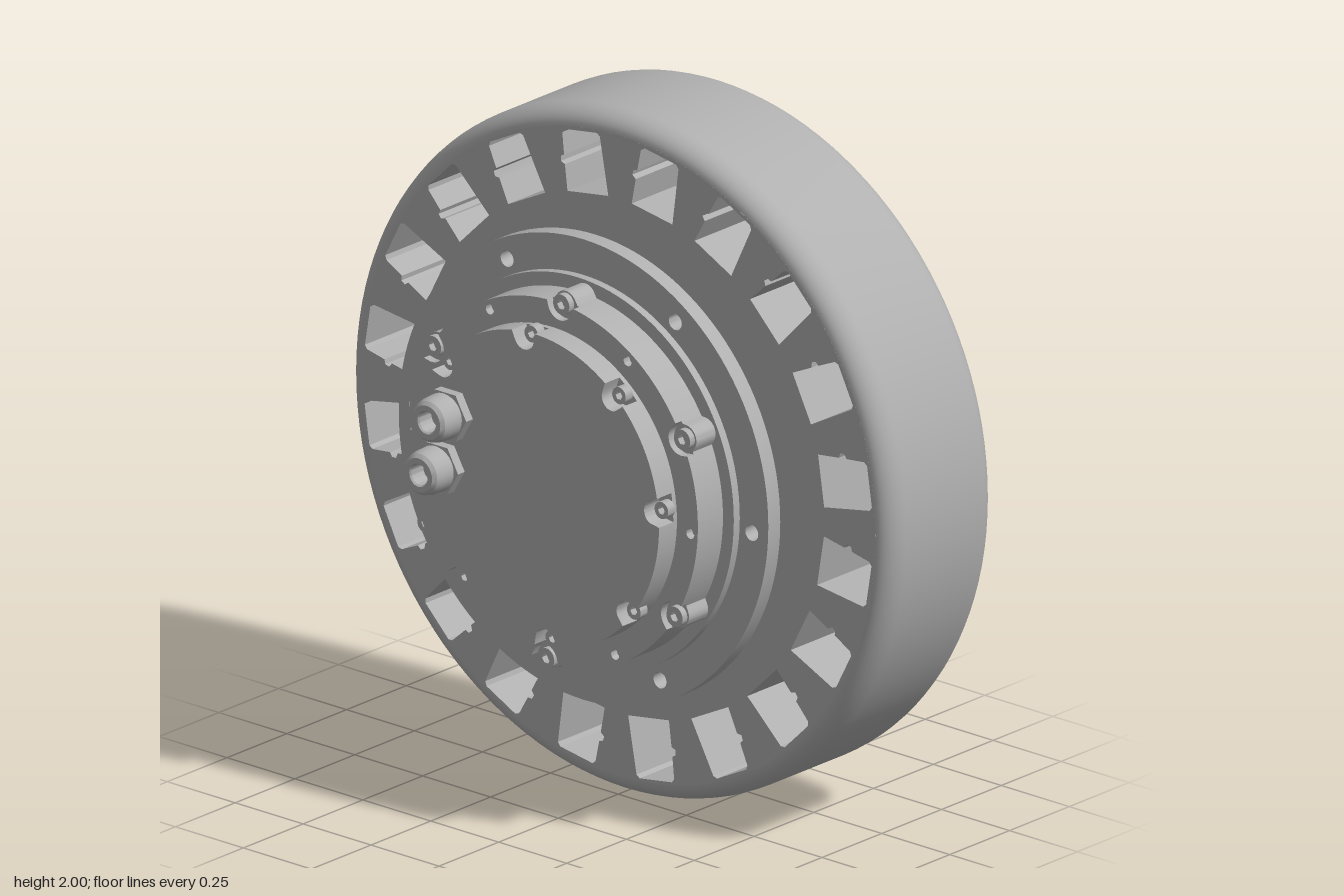
import * as THREE from 'three';
import { toCreasedNormals } from 'three/addons/utils/BufferGeometryUtils.js';

const TAU = Math.PI * 2;
const rad = (d) => d * Math.PI / 180;
const V = (x, y) => new THREE.Vector2(x, y);
const polar = (r, a) => V(r * Math.cos(a), r * Math.sin(a));
// evenly spaced points on a bolt circle
const boltCircle = (n, r, startDeg) => Array.from({ length: n }, (_, i) => polar(r, rad(startDeg) + i * TAU / n));

export function createModel() {
  const metal = new THREE.MeshStandardMaterial({ color: 0xb0b0b0 });
  metal.name = 'grey metal';
  const model = new THREE.Group();
  model.name = 'hubWheel';
  model.position.y = 1;

  function add(name, geometry, parent = model) {
    const mesh = new THREE.Mesh(toCreasedNormals(geometry, 0.5), metal);
    mesh.name = name;
    parent.add(mesh);
    return mesh;
  }

  // profile points are (radius, z)
  function turned(name, points, segments = 96, parent = model) {
    const g = new THREE.LatheGeometry(points.map(([r, z]) => V(r, z)), segments);
    return add(name, g.rotateX(Math.PI / 2), parent);
  }

  function plate(name, shape, z0, z1, parent = model) {
    const g = new THREE.ExtrudeGeometry(shape, { depth: z1 - z0, bevelEnabled: false, curveSegments: 12 });
    return add(name, g.translate(0, 0, z0), parent);
  }

  const polygon = (r, n, x = 0, y = 0) =>
    Array.from({ length: n }, (_, i) => polar(r, i * TAU / n).add(V(x, y)));

  function disc(r, holes = [], n = 120) {
    const s = new THREE.Shape(polygon(r, n));
    for (const h of holes) s.holes.push(new THREE.Path(h));
    return s;
  }

  const drill = (centres, r, n = 16) => centres.map((c) => polygon(r, n, c.x, c.y));

  // disc whose edge swells round, or is bitten by, circles on a bolt circle
  function lobed(base, count, d, startDeg, rho, sign, holes = []) {
    const pts = [];
    for (let i = 0; i < 480; i++) {
      const a = i * TAU / 480;
      const step = TAU / count;
      const rel = a - rad(startDeg);
      const delta = rel - Math.round(rel / step) * step;
      const q = rho * rho - (d * Math.sin(delta)) ** 2;
      let r = base;
      if (q > 0) {
        const edge = d * Math.cos(delta) + sign * Math.sqrt(q);
        r = sign > 0 ? Math.max(base, edge) : Math.min(base, edge);
      }
      pts.push(polar(r, a));
    }
    const s = new THREE.Shape(pts);
    for (const h of holes) s.holes.push(new THREE.Path(h));
    return s;
  }

  // rounded tread
  const tread = [];
  for (let i = 0; i <= 8; i++) {
    const a = i / 8 * Math.PI / 2;
    tread.push([0.945 + 0.055 * Math.sin(a), -0.375 - 0.075 * Math.cos(a)]);
  }
  for (let i = 0; i <= 8; i++) {
    const a = i / 8 * Math.PI / 2;
    tread.push([0.945 + 0.055 * Math.cos(a), -0.075 + 0.075 * Math.sin(a)]);
  }
  turned('tread', tread, 120);

  // spoke ring with twenty notched windows
  const windows = [];
  for (let i = 0; i < 20; i++) {
    const a = rad(9 + 18 * i - 0.5);
    const outline = [[0.755, -0.076], [0.925, -0.07], [0.935, -0.06], [0.935, 0.06], [0.925, 0.07],
      [0.86, 0.073], [0.855, 0.086], [0.84, 0.088], [0.832, 0.074], [0.755, 0.076]];
    windows.push(outline.map(([x, y]) => V(x, y).rotateAround(V(0, 0), a)));
  }
  plate('spokeRing', disc(0.946, [...windows, polygon(0.7, 120)]), -0.45, 0);

  // dished hub, open at the back
  const bowl = [[0.53, -0.23]];
  for (let i = 1; i <= 5; i++) {
    const a = i / 5 * Math.PI / 2;
    bowl.push([0.53 + 0.055 * Math.sin(a), -0.285 + 0.055 * Math.cos(a)]);
  }
  bowl.push([0.605, -0.4], [0.612, -0.425], [0.625, -0.443], [0.645, -0.45], [0.688, -0.45],
    [0.688, -0.43], [0.702, -0.43], [0.702, 0], [0.5, 0]);
  turned('hubBowl', bowl);
  const hubHoles = [
    polygon(0.115, 48),
    ...drill(boltCircle(6, 0.22, -8), 0.024),
    ...drill(boltCircle(6, 0.455, -8), 0.024),
  ];
  plate('hubFace', disc(0.535, hubHoles), -0.23, -0.19);

  // motor housing with bolt bosses, mounting flange and step
  plate('motorHousing', lobed(0.535, 6, 0.525, 27, 0.04, 1), -0.19, 0.25);
  plate('mountingFlange', disc(0.68, drill(boltCircle(6, 0.62, -3), 0.024)), 0.095, 0.145);
  plate('flangeStep', disc(0.575), 0.145, 0.17);
  plate('housingRim', lobed(0.535, 6, 0.53, 27, 0.045, -1,
    drill(boltCircle(6, 0.508, -3), 0.015)), 0.25, 0.275);

  // front cover with screw recesses
  plate('coverBase', disc(0.458), 0.275, 0.29);
  plate('frontCover', lobed(0.458, 8, 0.442, 5, 0.037, -1), 0.29, 0.35);

  // socket head screws
  function screws(name, centres, r, z0, z1) {
    const group = new THREE.Group();
    group.name = name;
    for (const c of centres) {
      plate('screwHead', disc(r, [polygon(r * 0.5, 6)], 24), z0, z1, group).position.set(c.x, c.y, 0);
    }
    model.add(group);
  }
  screws('housingScrews', boltCircle(6, 0.53, 27), 0.03, 0.25, 0.27);
  screws('coverScrews', boltCircle(8, 0.442, 5), 0.025, 0.29, 0.32);

  // two cable glands
  for (const [x, y] of [[-0.305, 0.15], [-0.335, -0.013]]) {
    const gland = new THREE.Group();
    gland.name = 'cableGland';
    gland.position.set(x, y, 0);
    plate('hexNut', disc(0.078, [], 6), 0.35, 0.378, gland);
    turned('glandCap', [[0.06, 0.375], [0.067, 0.385], [0.065, 0.425], [0.06, 0.445], [0.05, 0.455],
      [0.034, 0.455], [0.03, 0.45], [0.03, 0.4], [0, 0.4]], 32, gland);
    model.add(gland);
  }

  const root = new THREE.Group();
  root.name = 'wheelAssembly';
  root.add(model);
  return root;
}
